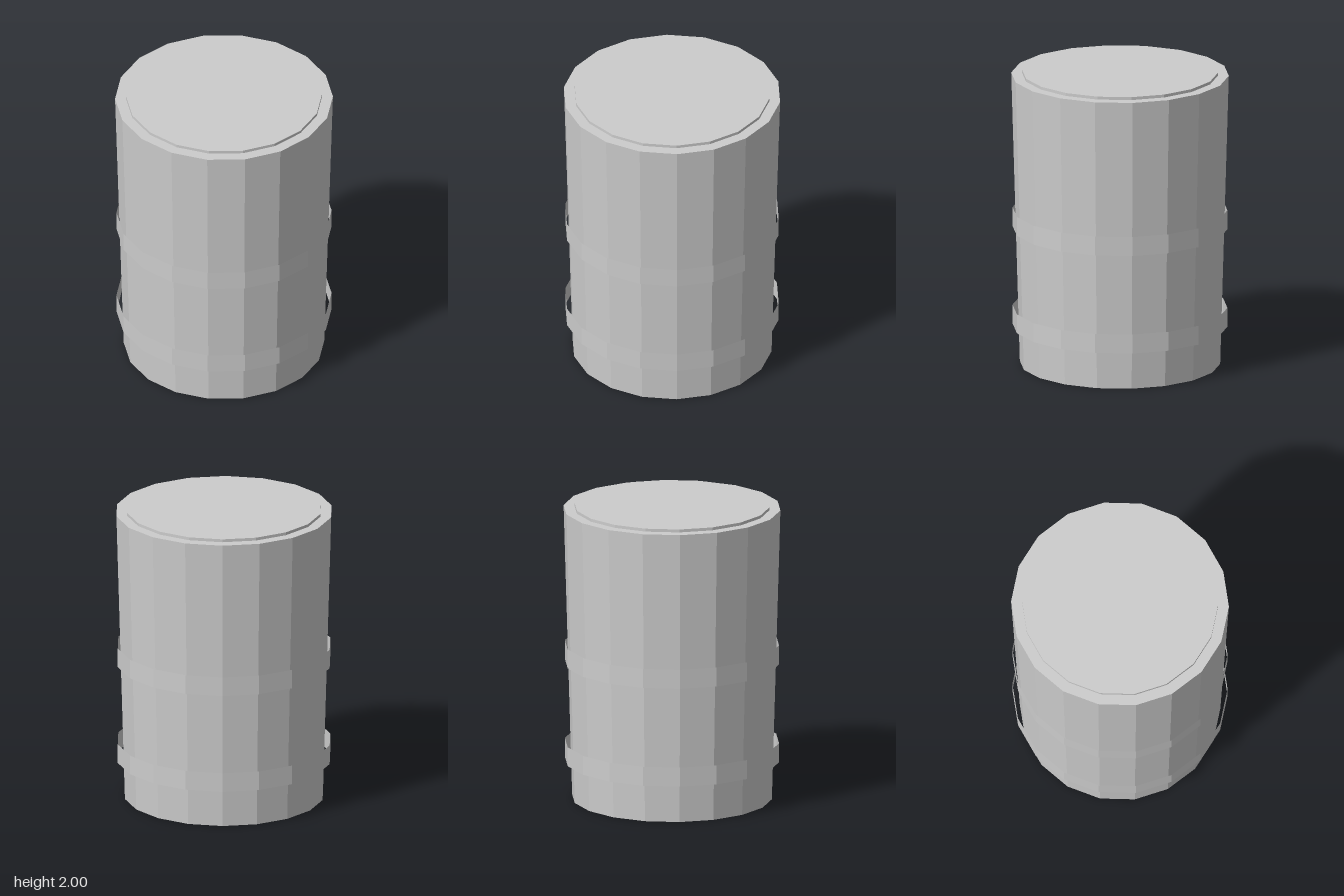
import * as THREE from 'three';

const SIDES = 18;

export function createModel() {
  const model = new THREE.Group();
  model.name = 'barrel';

  const metal = new THREE.MeshStandardMaterial({
    color: 0xcccccc, flatShading: true, side: THREE.DoubleSide,
  });
  metal.name = 'light grey metal';

  // Faceted ring or drum between two heights, with a corner on the x axis
  function drum(name, rTop, rBottom, y0, y1, open = false) {
    const geometry = new THREE.CylinderGeometry(rTop, rBottom, y1 - y0, SIDES, 1, open, Math.PI / 2);
    const mesh = new THREE.Mesh(geometry, metal);
    mesh.name = name;
    mesh.position.y = (y0 + y1) / 2;
    model.add(mesh);
  }

  // Tapered body and raised lid
  drum('body', 0.722, 0.665, 0, 1.98);
  drum('lid', 0.65, 0.65, 1.975, 2);

  // Thin open hoops standing clear of the body
  drum('lowerHoop', 0.713, 0.713, 0.255, 0.385, true);
  drum('middleHoop', 0.713, 0.713, 0.925, 1.055, true);

  return model;
}
